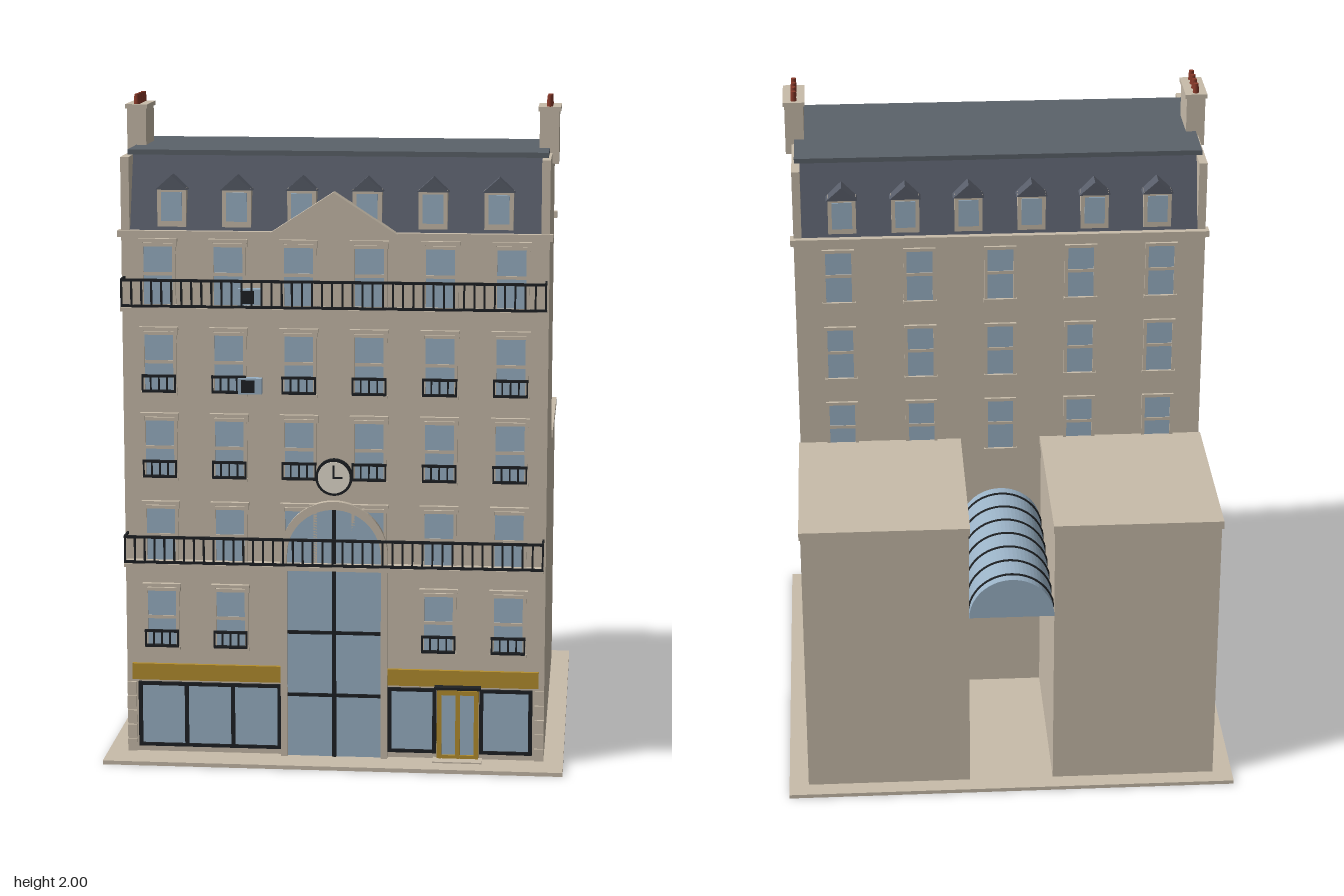
import * as THREE from 'three';

const mat = (name, color) => Object.assign(new THREE.MeshStandardMaterial({ color }), { name });
const STONE = mat('stone', 0xc8bcaa);
const GLASS = mat('glass', 0x9ab2c6);
const IRON = mat('iron', 0x1e2124);
const SLATE = mat('slate', 0x585d69);
const ZINC = mat('zinc', 0x5b626a);
const GOLD = mat('gold', 0xb58f2f);
const CLAY = mat('clay', 0x8a3a2a);
const CREAM = mat('cream', 0xe6dfd0);

const COLUMNS = [-0.525, -0.315, -0.105, 0.105, 0.315, 0.525];
const FRONT = 0.58, BACK = -0.05, HALF = 0.635;

function add(parent, name, geo, material) {
  const m = new THREE.Mesh(geo, material);
  m.name = name;
  parent.add(m);
  return m;
}

// Box given by its limits on each axis
function box(parent, name, material, x0, x1, y0, y1, z0, z1) {
  const m = add(parent, name, new THREE.BoxGeometry(x1 - x0, y1 - y0, z1 - z0), material);
  m.position.set((x0 + x1) / 2, (y0 + y1) / 2, (z0 + z1) / 2);
  return m;
}

// Outline in x,y extruded from z0 to z1
function prism(parent, name, material, shape, z0, z1) {
  const geo = new THREE.ExtrudeGeometry(shape, { depth: z1 - z0, bevelEnabled: false, curveSegments: 16 });
  geo.translate(0, 0, z0);
  return add(parent, name, geo, material);
}

const polygon = pts => new THREE.Shape(pts.map(p => new THREE.Vector2(...p)));

function archShape(r, base, spring) {
  const s = new THREE.Shape();
  s.moveTo(-r, base);
  s.lineTo(r, base);
  s.lineTo(r, spring);
  s.absarc(0, spring, r, 0, Math.PI, false);
  s.closePath();
  return s;
}

function group(parent, name) {
  const g = new THREE.Group();
  g.name = name;
  parent.add(g);
  return g;
}

// Window built around its bottom centre, facing +z
function sashWindow(parent, w, h, hood) {
  const g = group(parent, 'window');
  const a = w / 2;
  box(g, 'windowGlass', GLASS, -a, a, 0, h, 0, 0.004);
  for (const s of [-1, 1]) box(g, 'windowJamb', STONE, s * (a + 0.005) - 0.005, s * (a + 0.005) + 0.005, 0, h + 0.01, 0, 0.009);
  box(g, 'windowHead', STONE, -a, a, h, h + 0.01, 0, 0.009);
  box(g, 'windowTransom', STONE, -a, a, h * 0.5, h * 0.5 + 0.01, 0, 0.007);
  box(g, 'windowSill', STONE, -a - 0.012, a + 0.012, -0.01, 0, 0, 0.013);
  if (hood) {
    box(g, 'windowHood', STONE, -a - 0.015, a + 0.015, h + 0.014, h + 0.024, 0, 0.016);
    for (const s of [-1, 1]) box(g, 'hoodBracket', STONE, s * (a + 0.008) - 0.006, s * (a + 0.008) + 0.006, h, h + 0.014, 0, 0.012);
  }
  return g;
}

// Small iron guard in front of a window
function windowGuard(parent) {
  const g = group(parent, 'windowGuard');
  box(g, 'guardTop', IRON, -0.052, 0.052, 0.046, 0.054, 0.012, 0.02);
  box(g, 'guardBottom', IRON, -0.05, 0.05, 0, 0.007, 0.006, 0.02);
  for (let i = 0; i < 5; i++) {
    const x = -0.049 + i * 0.0245;
    box(g, 'guardBar', IRON, x - 0.0025, x + 0.0025, 0, 0.05, 0.013, 0.018);
  }
}

function balcony(parent, y) {
  const g = group(parent, 'balcony');
  box(g, 'balconySlab', STONE, -0.63, 0.63, y - 0.012, y, FRONT - 0.005, 0.645);
  box(g, 'balconyRail', IRON, -0.63, 0.63, y + 0.077, y + 0.085, 0.635, 0.643);
  box(g, 'balconyFoot', IRON, -0.63, 0.63, y, y + 0.008, 0.636, 0.642);
  for (let i = 0; i <= 42; i++) {
    const x = -0.627 + i * 1.254 / 42;
    box(g, 'baluster', IRON, x - 0.0028, x + 0.0028, y, y + 0.08, 0.6365, 0.6415);
  }
  for (const s of [-1, 1]) box(g, 'balconyEndRail', IRON, s * 0.627 - 0.003, s * 0.627 + 0.003, y + 0.078, y + 0.085, FRONT, 0.636);
}

// Dormer centred on x = 0, facing +z, set into the slope
function dormer(parent) {
  const g = group(parent, 'dormer');
  box(g, 'dormerBody', STONE, -0.043, 0.043, 1.625, 1.74, 0.5, 0.567);
  box(g, 'dormerGlass', GLASS, -0.031, 0.031, 1.642, 1.728, 0.567, 0.57);
  prism(g, 'dormerRoof', SLATE, polygon([[-0.048, 1.735], [0.048, 1.735], [0, 1.778]]), 0.49, 0.571);
  return g;
}

function shopWindow(parent, x0, x1, panes) {
  const g = group(parent, 'shopWindow');
  box(g, 'shopGlass', GLASS, x0, x1, 0.03, 0.23, FRONT, 0.584);
  for (const y of [0.03, 0.222]) box(g, 'shopFrame', IRON, x0, x1, y, y + 0.01, FRONT, 0.59);
  for (let i = 0; i <= panes; i++) {
    const x = x0 + 0.006 + (x1 - x0 - 0.012) * i / panes;
    box(g, 'shopMullion', IRON, x - 0.006, x + 0.006, 0.03, 0.23, FRONT, 0.59);
  }
}

function buildFront(parent) {
  const g = group(parent, 'frontFacade');
  // Window floors: sill height and whether each has a guard
  for (const [y, guard] of [[0.345, true], [0.6, false], [0.87, true], [1.13, true], [1.395, false]]) {
    for (const x of COLUMNS) {
      if (y < 0.4 && Math.abs(x) < 0.2) continue;
      const w = sashWindow(g, 0.086, 0.173, true);
      w.position.set(x, y, FRONT);
      if (guard) windowGuard(w);
    }
  }
  balcony(g, 0.615);
  balcony(g, 1.393);

  // Tall arched entrance
  const p = group(g, 'portal');
  const frame = archShape(0.162, 0.01, 0.645);
  frame.holes.push(archShape(0.142, 0.012, 0.64));
  prism(p, 'portalSurround', STONE, frame, FRONT, 0.602);
  prism(p, 'portalGlass', GLASS, archShape(0.143, 0.01, 0.64), FRONT, 0.589);
  box(p, 'portalMullion', IRON, -0.006, 0.006, 0.01, 0.78, 0.585, 0.595);
  for (const y of [0.205, 0.4, 0.6]) box(p, 'portalTransom', IRON, -0.142, 0.142, y - 0.005, y + 0.005, 0.585, 0.595);

  // Clock
  const c = group(g, 'clock');
  c.position.set(0, 0.88, FRONT);
  add(c, 'clockRim', new THREE.CylinderGeometry(0.056, 0.056, 0.016, 32).rotateX(Math.PI / 2), IRON).position.z = 0.008;
  add(c, 'clockFace', new THREE.CylinderGeometry(0.048, 0.048, 0.004, 32).rotateX(Math.PI / 2), CREAM).position.z = 0.017;
  box(c, 'minuteHand', IRON, -0.003, 0.003, -0.003, 0.038, 0.019, 0.022);
  box(c, 'hourHand', IRON, 0, 0.026, -0.003, 0.003, 0.019, 0.022);

  // Shops
  shopWindow(g, -0.6, -0.162, 3);
  shopWindow(g, 0.162, 0.31, 1);
  shopWindow(g, 0.44, 0.6, 1);
  for (const s of [-1, 1]) box(g, 'shopSign', GOLD, s * 0.39 - 0.228, s * 0.39 + 0.228, 0.24, 0.29, FRONT, 0.592);
  const d = group(g, 'shopDoor');
  box(d, 'doorGlass', GLASS, 0.315, 0.435, 0.012, 0.225, FRONT, 0.586);
  for (const x of [0.319, 0.375, 0.431]) box(d, 'doorStile', GOLD, x - 0.007, x + 0.007, 0.012, 0.228, FRONT, 0.594);
  for (const y of [0.012, 0.214]) box(d, 'doorRail', GOLD, 0.315, 0.435, y, y + 0.014, FRONT, 0.593);
  box(d, 'doorCanopy', IRON, 0.305, 0.445, 0.237, 0.245, FRONT, 0.62);
  box(d, 'doorStep', STONE, 0.3, 0.45, 0.005, 0.016, FRONT, 0.63);

  // Corner blocks
  for (const s of [-1, 1]) for (let i = 0; i < 5; i++)
    box(g, 'cornerBlock', STONE, s * 0.621 - 0.014, s * 0.621 + 0.014, 0.012 + i * 0.045, 0.05 + i * 0.045, FRONT, 0.587);

  // Air conditioners
  for (const y of [1.13, 1.398]) {
    box(g, 'airConditioner', GLASS, -0.285, -0.215, y, y + 0.048, FRONT, 0.607);
    box(g, 'airConditionerGrille', IRON, -0.276, -0.236, y + 0.005, y + 0.043, 0.607, 0.61);
  }
  prism(g, 'pediment', STONE, polygon([[-0.19, 1.612], [0.19, 1.612], [0, 1.735]]), 0.56, 0.608);
}

function buildRoof(parent) {
  const g = group(parent, 'roof');
  // Mansard profile is drawn in z,y and turned to run along x
  const geo = new THREE.ExtrudeGeometry(polygon([[-0.57, 1.61], [0.05, 1.61], [-0.025, 1.835], [-0.495, 1.835]]), { depth: 1.22, bevelEnabled: false });
  geo.translate(0, 0, -0.61).rotateY(Math.PI / 2);
  add(g, 'mansard', geo, SLATE);
  box(g, 'roofTop', ZINC, -0.627, 0.627, 1.832, 1.847, 0.022, 0.498);
  for (const x of [-0.485, -0.291, -0.097, 0.097, 0.291, 0.485]) {
    dormer(g).position.x = x;
    const rear = dormer(g);
    rear.rotation.y = Math.PI;
    rear.position.set(x, 0, FRONT + BACK - 0.01);
  }
  for (const s of [-1, 1]) {
    box(g, 'gableWall', STONE, s * 0.6225 - 0.0125, s * 0.6225 + 0.0125, 1.6, 1.832, BACK, FRONT);
    const c = group(g, 'chimney');
    c.position.x = s * 0.625;
    box(c, 'chimneyStack', STONE, -0.029, 0.029, 1.8, 1.96, 0.188, 0.338);
    box(c, 'chimneyCap', STONE, -0.034, 0.034, 1.957, 1.97, 0.182, 0.344);
    for (let i = 0; i < 4; i++)
      add(c, 'chimneyPot', new THREE.CylinderGeometry(0.008, 0.01, 0.032, 10), CLAY).position.set(0, 1.984, 0.203 + i * 0.04);
  }
}

function buildRear(parent) {
  const g = group(parent, 'rear');
  for (const y of [0.88, 1.14, 1.4]) for (let i = -2; i <= 2; i++) {
    const w = sashWindow(g, 0.08, 0.165, false);
    w.rotation.y = Math.PI;
    w.position.set(i * 0.25, y, BACK);
  }
  // Courtyard wings
  for (const s of [-1, 1]) {
    box(g, 'wing', STONE, s * 0.3825 - 0.2525, s * 0.3825 + 0.2525, 0.01, 0.89, -0.64, BACK);
    box(g, 'wingCap', STONE, s * 0.383 - 0.257, s * 0.383 + 0.257, 0.888, 0.913, -0.65, BACK);
  }
  // Glazed passage vault with iron ribs
  const half = new THREE.Shape();
  half.absarc(0, 0.6, 0.13, 0, Math.PI, false);
  prism(g, 'glassVault', GLASS, half, -0.645, BACK);
  for (let i = 0; i < 7; i++)
    add(g, 'vaultRib', new THREE.TorusGeometry(0.13, 0.005, 6, 20, Math.PI), IRON).position.set(0, 0.6, -0.612 + i * 0.087);
}

export function createModel() {
  const model = new THREE.Group();
  model.name = 'townBuilding';
  box(model, 'pavement', STONE, -0.695, 0.695, 0, 0.012, -0.695, 0.695);
  box(model, 'mainBlock', STONE, -HALF, HALF, 0.01, 1.61, BACK, FRONT);
  box(model, 'frontCornice', STONE, -0.645, 0.645, 1.595, 1.615, 0.56, 0.592);
  box(model, 'rearCornice', STONE, -0.645, 0.645, 1.595, 1.615, -0.068, -0.03);
  buildFront(model);
  buildRoof(model);
  buildRear(model);
  return model;
}
